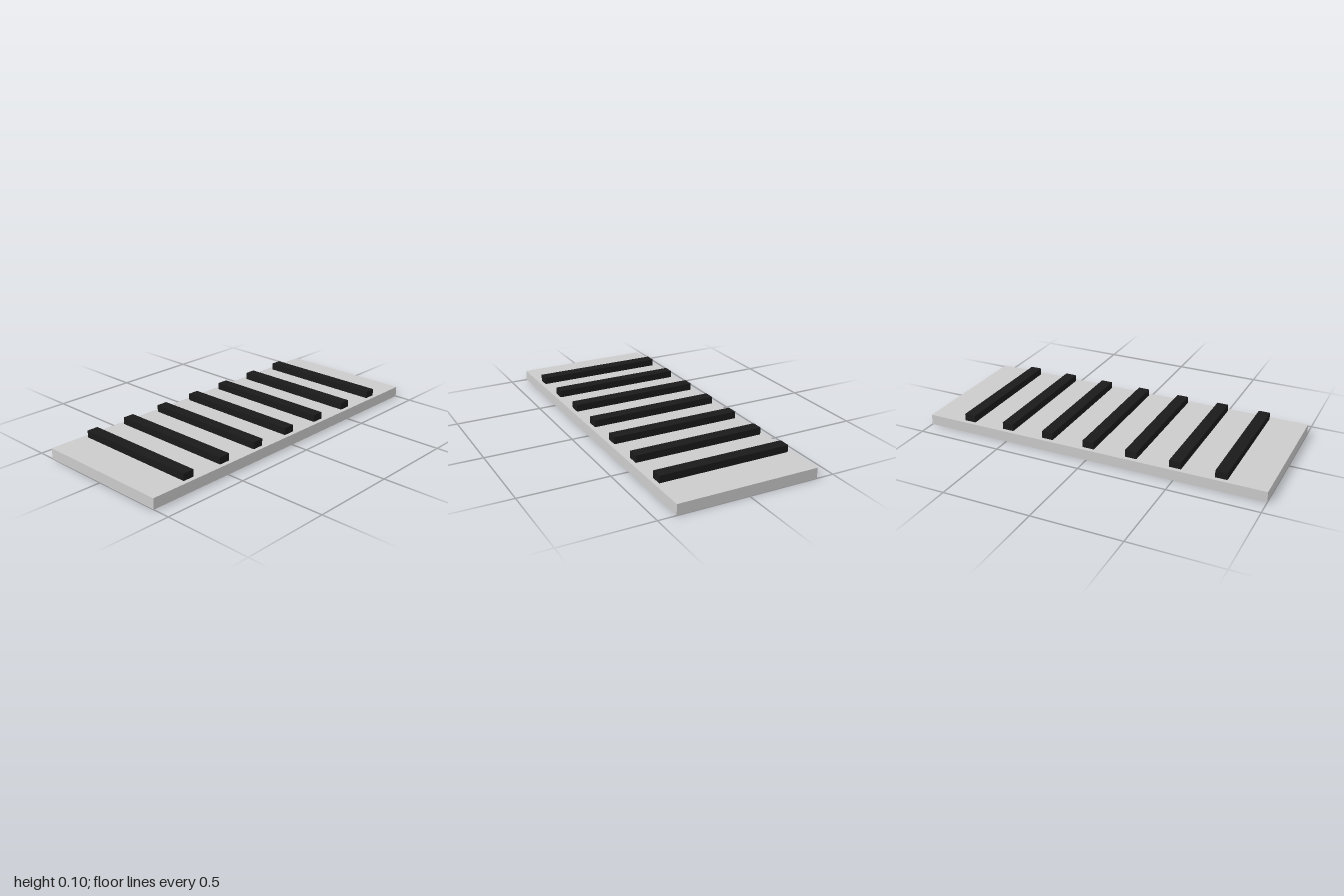
import * as THREE from 'three';

export function createModel() {
  const model = new THREE.Group();
  model.name = 'ribbedPlatform';

  const grey = new THREE.MeshStandardMaterial({ color: 0xcccccc });
  const black = new THREE.MeshStandardMaterial({ color: 0x1a1a1a });

  // Flat base slab
  const slabHeight = 0.06;
  const slab = new THREE.Mesh(new THREE.BoxGeometry(2, slabHeight, 0.8), grey);
  slab.name = 'baseSlab';
  slab.position.y = slabHeight / 2;
  model.add(slab);

  // Seven evenly spaced cross bars resting on the slab
  const barHeight = 0.04;
  const barGeometry = new THREE.BoxGeometry(0.066, barHeight, 0.75);
  for (let i = -3; i <= 3; i++) {
    const bar = new THREE.Mesh(barGeometry, black);
    bar.name = `crossBar${i + 4}`;
    bar.position.set(i * 0.25, slabHeight + barHeight / 2, 0);
    model.add(bar);
  }

  return model;
}
